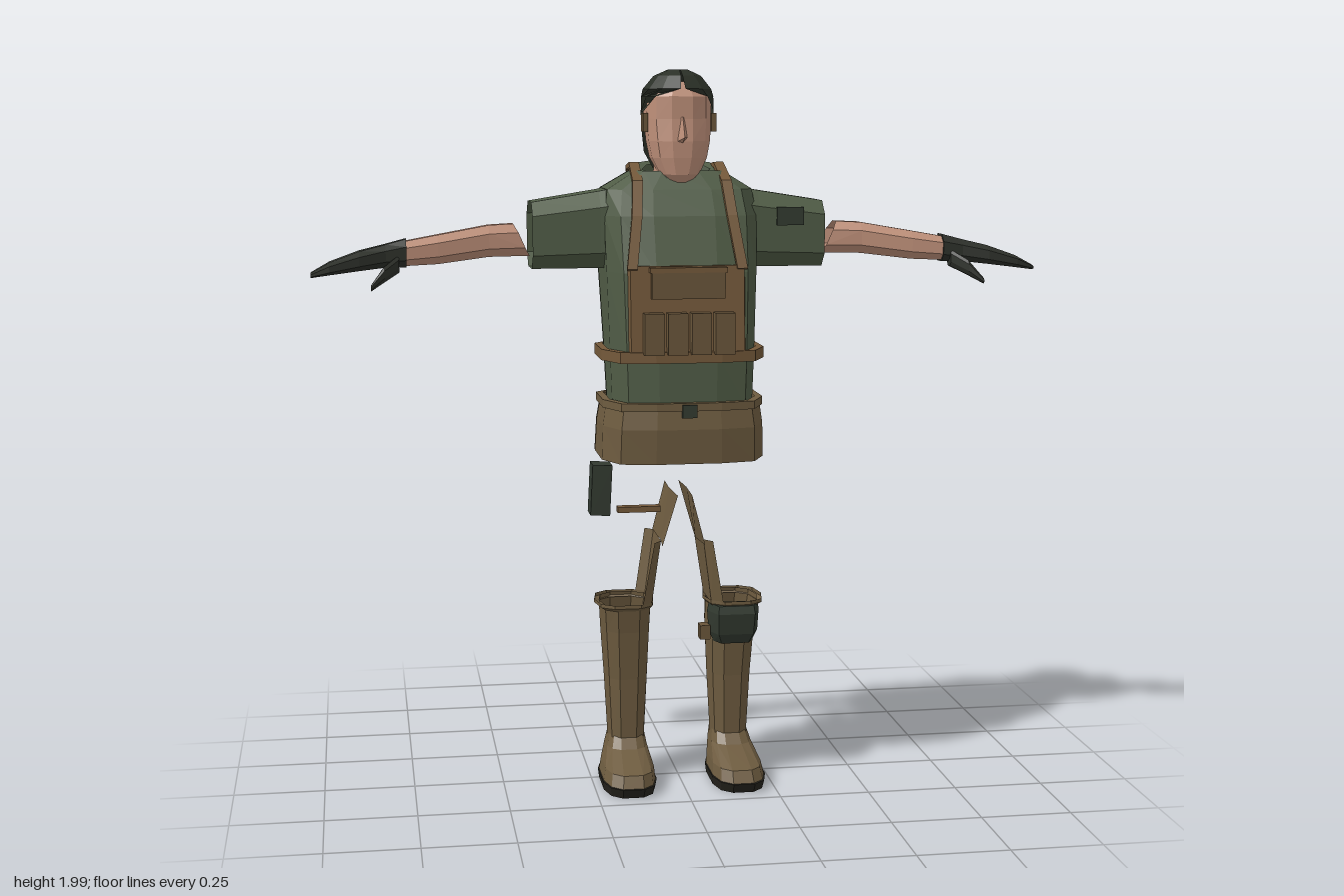
import * as THREE from 'three';

const mat = (name, color) => {
  const m = new THREE.MeshStandardMaterial({ color, side: THREE.DoubleSide });
  m.name = name;
  return m;
};

// Flat-faced skin over rows of points; rows may be closed rings or open strips.
function loft(rows, closed = true, capStart = false, capEnd = false) {
  const pos = [];
  const tri = (a, b, c) => pos.push(...a, ...b, ...c);
  const n = rows[0].length;
  for (let i = 0; i < rows.length - 1; i++) {
    for (let j = 0; j < (closed ? n : n - 1); j++) {
      const k = (j + 1) % n;
      tri(rows[i][j], rows[i + 1][j], rows[i + 1][k]);
      tri(rows[i][j], rows[i + 1][k], rows[i][k]);
    }
  }
  const cap = (r, flip) => {
    for (let j = 1; j < n - 1; j++) flip ? tri(r[0], r[j + 1], r[j]) : tri(r[0], r[j], r[j + 1]);
  };
  if (capStart) cap(rows[0], false);
  if (capEnd) cap(rows[rows.length - 1], true);
  const geo = new THREE.BufferGeometry();
  geo.setAttribute('position', new THREE.Float32BufferAttribute(pos, 3));
  if (volume(geo) < 0) flip(geo);
  geo.computeVertexNormals();
  return geo;
}

// Signed volume about the middle tells whether faces point outward.
function volume(geo) {
  geo.computeBoundingBox();
  const mid = geo.boundingBox.getCenter(new THREE.Vector3());
  const p = geo.attributes.position;
  const at = i => new THREE.Vector3().fromBufferAttribute(p, i).sub(mid);
  let sum = 0;
  for (let i = 0; i < p.count; i += 3) sum += at(i).dot(at(i + 1).cross(at(i + 2)));
  return sum;
}

function flip(geo) {
  const a = geo.attributes.position.array;
  for (let i = 0; i < a.length; i += 9) {
    for (let k = 0; k < 3; k++) [a[i + 3 + k], a[i + 6 + k]] = [a[i + 6 + k], a[i + 3 + k]];
  }
}

function mirrored(geo) {
  const g = geo.index ? geo.toNonIndexed() : geo.clone();
  g.scale(-1, 1, 1);
  flip(g);
  g.computeVertexNormals();
  return g;
}

const pw = (v, p) => Math.sign(v) * Math.abs(v) ** p;

// Level ring: p < 1 makes it boxier; a leaves an opening of that half angle at the front.
function ring(y, xc, hx, zf, zb, n = 10, p = 1, a = null) {
  return Array.from({ length: n }, (_, i) => {
    const t = a === null ? ((i + 0.5) / n) * Math.PI * 2 : a + (i / (n - 1)) * (Math.PI * 2 - 2 * a);
    return [xc + hx * pw(Math.sin(t), p), y, (zf + zb) / 2 + ((zf - zb) / 2) * pw(Math.cos(t), p)];
  });
}

// Upright ring across an arm; slant pushes its upper half outward.
function armRing(x, yc, zc, ry, rz, slant = 0, p = 0.85) {
  return Array.from({ length: 8 }, (_, i) => {
    const t = ((i + 0.5) / 8) * Math.PI * 2;
    return [x + slant * Math.sin(t), yc + ry * pw(Math.sin(t), p), zc + rz * pw(Math.cos(t), p)];
  });
}

// Front and back halves of a body section, meeting at a side seam.
const frontArc = ([y, w, zf, zs]) => [
  [w, y, zs + 0.006], [w, y, zf * 0.45], [w * 0.82, y, zf * 0.9], [w * 0.4, y, zf],
  [-w * 0.4, y, zf], [-w * 0.82, y, zf * 0.9], [-w, y, zf * 0.45], [-w, y, zs + 0.006]];
const backArc = ([y, w, , zs, zb]) => [
  [w, y, zs - 0.006], [w * 0.65, y, zb], [0, y, zb + 0.01], [-w * 0.65, y, zb], [-w, y, zs - 0.006]];
const bodyRing = s => [...frontArc(s), ...backArc(s).reverse()];

// Flat strap following a path, width along x.
function strap(path, w, t) {
  return loft(path.map(([x, y, z], i) => {
    const a = path[Math.max(0, i - 1)], b = path[Math.min(path.length - 1, i + 1)];
    const l = Math.hypot(b[1] - a[1], b[2] - a[2]) || 1;
    const ny = (-(b[2] - a[2]) / l) * t / 2, nz = ((b[1] - a[1]) / l) * t / 2;
    return [[x - w / 2, y + ny, z + nz], [x + w / 2, y + ny, z + nz], [x + w / 2, y - ny, z - nz], [x - w / 2, y - ny, z - nz]];
  }), true, true, true);
}

function box(w, h, d, x, y, z, ry = 0, rz = 0) {
  return new THREE.BoxGeometry(w, h, d).rotateZ(rz).rotateY(ry).translate(x, y, z);
}

export function createModel() {
  const model = new THREE.Group();
  model.name = 'fieldSoldier';
  const shirt = mat('shirt green', 0x505c46), trousers = mat('trouser brown', 0x6e5c40);
  const web = mat('webbing brown', 0x74593a), skin = mat('skin', 0xbd8f79);
  const hair = mat('hair', 0x2b3027), glove = mat('glove dark', 0x2d302a);
  const sole = mat('sole black', 0x25231d), hard = mat('hard gear', 0x323a30);
  const pouch = mat('pouch brown', 0x69553a);

  const add = (name, geo, material, both = false) => {
    (both ? [geo, mirrored(geo)] : [geo]).forEach((g, i) => {
      const m = new THREE.Mesh(g, material);
      m.name = both ? name + (i ? 'Right' : 'Left') : name;
      model.add(m);
    });
  };

  // Shirt: y, half width, front z, seam z, back z
  const body = [[1.09, 0.195, 0.185, -0.045, -0.13], [1.23, 0.2, 0.185, -0.065, -0.14],
    [1.45, 0.207, 0.165, -0.125, -0.165], [1.6, 0.21, 0.118, -0.155, -0.175],
    [1.67, 0.2, 0.08, -0.13, -0.155], [1.72, 0.12, 0.045, -0.09, -0.12], [1.71, 0.06, 0.02, -0.06, -0.09]];
  add('shirtFront', loft(body.map(frontArc), false), shirt);
  add('shirtBack', loft(body.map(backArc), false), shirt);
  const collar = (y, w, zf, zb, drop) => ring(y, 0, w, zf, zb).map(([x, h, z]) => [x, h - drop * (z + 0.1), z]);
  add('collar', loft([collar(1.7, 0.125, 0.07, -0.115, 0.2), collar(1.745, 0.125, 0.062, -0.115, 0.25),
    collar(1.74, 0.095, 0.04, -0.1, 0.25)]), shirt);
  add('sleeve', loft([armRing(0.17, 1.565, -0.05, 0.115, 0.115, 0, 0.6), armRing(0.22, 1.56, -0.05, 0.11, 0.11, 0, 0.6),
    armRing(0.405, 1.545, -0.048, 0.095, 0.098, 0, 0.6)]), shirt, true);
  add('sleevePatch', box(0.075, 0.05, 0.008, 0.305, 1.595, 0.055), hard);

  // Trouser seat, open below
  const seat = [[0.935, 0.225, 0.2, -0.08, -0.155], [1.03, 0.222, 0.208, -0.06, -0.15], [1.1, 0.212, 0.198, -0.045, -0.14]];
  add('seatFront', loft(seat.map(frontArc), false), trousers);
  add('seatBack', loft(seat.map(backArc), false), trousers);
  add('buckle', box(0.04, 0.035, 0.012, 0, 1.08, 0.207), hard);

  // Belts
  const belt = (y, h, w, zf, zb) => loft([[y, w - 0.02, zf - 0.02, -0.06, zb + 0.02], [y, w, zf, -0.06, zb],
    [y + h, w, zf, -0.06, zb], [y + h, w - 0.02, zf - 0.02, -0.06, zb + 0.02]].map(bodyRing));
  add('chestRigBelt', belt(1.21, 0.03, 0.225, 0.2, -0.158), web);
  add('trouserBelt', belt(1.08, 0.022, 0.222, 0.205, -0.15), trousers);

  // Chest rig
  add('rigPanel', loft([[1.22, 0.186], [1.47, 0.168]].map(([y, z]) =>
    [[-0.165, y, z - 0.04], [-0.155, y, z], [0.155, y, z], [0.165, y, z - 0.04]]), true, true, true), web);
  add('rigPocket', box(0.2, 0.075, 0.03, 0, 1.42, 0.178), pouch);
  add('rigPocketFlap', box(0.21, 0.014, 0.036, 0, 1.46, 0.178), web);
  for (let i = 0; i < 4; i++) {
    add('magazinePouch' + (i + 1), box(0.054, 0.112, 0.05, -0.096 + i * 0.064, 1.29, 0.192), pouch);
  }
  add('shoulderStrap', strap([[0.15, 1.46, 0.17], [0.13, 1.6, 0.122], [0.122, 1.69, 0.075], [0.118, 1.735, -0.03],
    [0.115, 1.725, -0.115], [0.1, 1.61, -0.182], [0, 1.44, -0.167], [-0.1, 1.24, -0.152]], 0.028, 0.014), web, true);
  add('hipPouch', box(0.095, 0.09, 0.06, 0.128, 1.025, -0.19, 0.5), pouch);

  // Head and neck
  add('neck', loft([ring(1.64, 0, 0.068, 0.035, -0.1), ring(1.8, 0, 0.06, 0.04, -0.085)]), skin);
  add('face', loft([[1.685, 0.03, 0.065, 0], [1.71, 0.055, 0.082, -0.04], [1.755, 0.078, 0.088, -0.08], [1.8, 0.087, 0.09, -0.09],
    [1.86, 0.092, 0.084, -0.1], [1.92, 0.09, 0.085, -0.1], [1.96, 0.065, 0.06, -0.08]]
    .map(([y, w, zf, zb]) => ring(y, 0, w, zf, zb, 12, 0.85)), true, true, true), skin);
  add('nose', loft([[1.795, 0.02, 0.085], [1.81, 0.018, 0.124], [1.865, 0.008, 0.088]].map(([y, w, z]) =>
    [[-w, y, 0.07], [0, y, z], [w, y, 0.07]]), true, true), skin);
  add('ear', box(0.014, 0.05, 0.035, 0.094, 1.85, 0.018), pouch, true);
  add('hair', loft([[1.725, 0.066, 0.05, -0.095, 1.95], [1.77, 0.09, 0.07, -0.11, 1.8], [1.83, 0.097, 0.08, -0.115, 1.62],
    [1.88, 0.1, 0.088, -0.118, 1.3], [1.92, 0.1, 0.094, -0.118, 0.75], [1.94, 0.095, 0.094, -0.114, 0.05],
    [1.975, 0.066, 0.07, -0.085, 0.02], [1.992, 0.028, 0.035, -0.04, 0.02]]
    .map(([y, w, zf, zb, a]) => ring(y, 0, w, zf, zb, 13, 0.9, a)), false, false, true), hair);

  // Arms and gloved hands
  add('forearm', loft([armRing(0.43, 1.532, -0.045, 0.047, 0.046, 0.024), armRing(0.52, 1.53, -0.035, 0.046, 0.046),
    armRing(0.66, 1.51, -0.008, 0.042, 0.044), armRing(0.755, 1.5, 0.008, 0.035, 0.04)]), skin, true);
  add('hand', loft([armRing(0.745, 1.502, 0.007, 0.041, 0.046), armRing(0.8, 1.495, 0.008, 0.033, 0.048),
    armRing(0.87, 1.483, 0.018, 0.028, 0.06), armRing(0.95, 1.464, 0.028, 0.018, 0.058),
    armRing(1.0, 1.447, 0.04, 0.007, 0.035)], true, true, true), glove, true);
  add('thumb', loft([armRing(0.765, 1.475, 0.035, 0.025, 0.022), armRing(0.805, 1.45, 0.08, 0.022, 0.02),
    armRing(0.842, 1.415, 0.112, 0.008, 0.01)], true, true, true), glove, true);

  // Inner thigh panels
  add('upperThighPanel', loft([[[0.02, 0.835, 0.13], [0.025, 0.835, 0], [0.02, 0.835, -0.115]],
    [[0.06, 0.69, 0.11], [0.05, 0.69, 0], [0.06, 0.69, -0.1]]], false), trousers, true);
  add('lowerThighPanel', loft([[[0.082, 0.7, 0.11], [0.06, 0.7, 0.08], [0.058, 0.7, -0.08], [0.08, 0.7, -0.105]],
    [[0.115, 0.515, 0.1], [0.085, 0.515, 0.07], [0.085, 0.515, -0.07], [0.11, 0.515, -0.09]]], false), trousers, true);

  // Lower legs, open at the knee
  add('lowerLeg', loft([[0.52, 0.152, 0.074, 0.1, -0.092], [0.44, 0.15, 0.07, 0.084, -0.115], [0.3, 0.148, 0.062, 0.064, -0.105],
    [0.11, 0.148, 0.052, 0.05, -0.085]].map(([y, x, w, f, b]) => ring(y, x, w, f, b, 10, 0.75))), trousers, true);
  add('kneeCuff', loft([ring(0.505, 0.152, 0.072, 0.097, -0.09, 10, 0.7), ring(0.514, 0.155, 0.084, 0.106, -0.098, 10, 0.7),
    ring(0.524, 0.155, 0.084, 0.106, -0.098, 10, 0.7)]), trousers, true);
  add('boot', loft([[0.13, 0.148, 0.051, 0.048, -0.084], [0.1, 0.15, 0.058, 0.075, -0.088], [0.06, 0.153, 0.07, 0.19, -0.09],
    [0.025, 0.155, 0.075, 0.21, -0.09]].map(([y, x, w, f, b]) => ring(y, x, w, f, b, 12, 0.7))), trousers, true);
  add('bootSole', loft([[0.028, 0.078, 0.216, -0.092], [0, 0.074, 0.2, -0.088]].map(([y, w, f, b]) =>
    ring(y, 0.155, w, f, b, 12, 0.7)), true, true, true), sole, true);

  // Knee pad and holster
  add('kneePad', loft([[0.4, 0.055, 0.085], [0.43, 0.07, 0.105], [0.49, 0.074, 0.115], [0.512, 0.07, 0.108]].map(([y, w, z]) =>
    [[0.15 - w, y, 0.05], [0.15 - w * 0.7, y, z], [0.15 + w * 0.7, y, z], [0.15 + w, y, 0.05]]), true, true, true), hard);
  add('kneePadStrap', box(0.03, 0.04, 0.04, 0.068, 0.43, 0.05), pouch);
  add('holster', box(0.055, 0.142, 0.07, -0.22, 0.838, 0, 0, -0.05), hard);
  add('holsterStrap', box(0.12, 0.016, 0.03, -0.117, 0.785, 0.04), web);

  return model;
}
